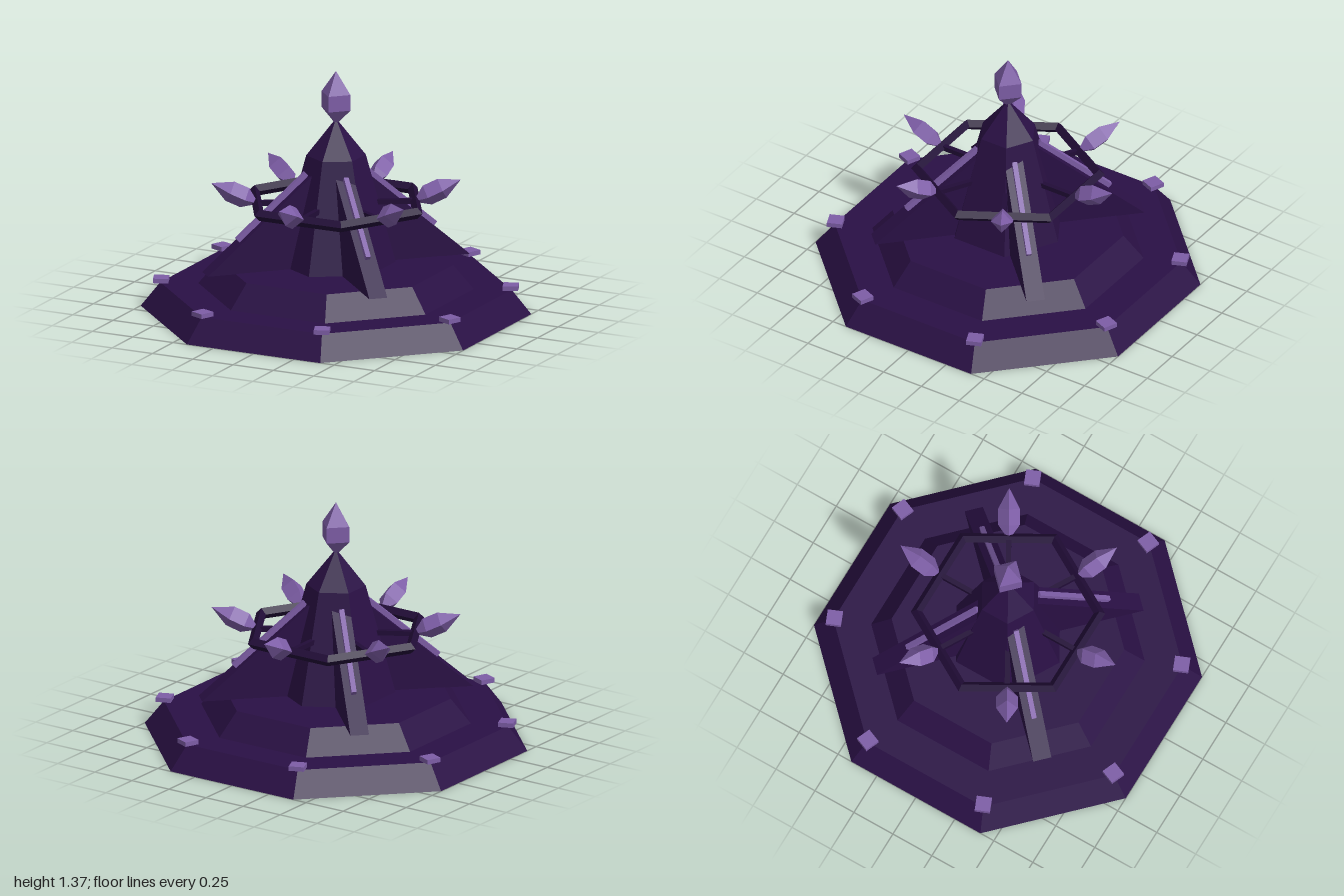
import * as THREE from 'three';

const stone = new THREE.MeshStandardMaterial({ color: 0x2a1045, flatShading: true });
stone.name = 'dark purple stone';
const ringStone = new THREE.MeshStandardMaterial({ color: 0x210c37, flatShading: true });
ringStone.name = 'deep purple stone';
const crystalMat = new THREE.MeshStandardMaterial({ color: 0x7d5da6, flatShading: true });
crystalMat.name = 'lilac crystal';

export function createModel() {
  const model = new THREE.Group();
  model.name = 'crystalMonument';

  const add = (name, geometry, material, parent = model) => {
    const mesh = new THREE.Mesh(geometry, material);
    mesh.name = name;
    parent.add(mesh);
    return mesh;
  };
  // Group whose +z axis points outwards at the given angle
  const spoke = (name, angle) => {
    const g = new THREE.Group();
    g.name = name;
    g.rotation.y = angle;
    model.add(g);
    return g;
  };
  // Tapered prism between two heights
  const prism = (name, rTop, rBottom, y0, y1, sides, turn = 0) => {
    const geo = new THREE.CylinderGeometry(rTop, rBottom, y1 - y0, sides);
    geo.rotateY(turn);
    geo.translate(0, (y0 + y1) / 2, 0);
    return add(name, geo, stone);
  };
  const crystal = (points) =>
    new THREE.LatheGeometry(points.map(([r, y]) => new THREE.Vector2(r, y)), 4);

  // Octagonal tiers, flats facing the axes
  const flat = 1 / Math.cos(Math.PI / 8);
  prism('base', 0.9 * flat, flat, 0, 0.137, 8, Math.PI / 8);
  prism('upperTier', 0.6 * flat, 0.705 * flat, 0.137, 0.272, 8, Math.PI / 8);

  // Hexagonal spire and its cap
  prism('spire', 0.165, 0.33, 0.272, 0.89, 6);
  prism('spireCap', 0.012, 0.165, 0.89, 1.085, 6);

  // Large crystal on the tip
  add('topCrystal', crystal([[0, 1.065], [0.09, 1.155], [0.09, 1.245], [0, 1.372]]), crystalMat);

  // Diagonal buttresses with a glowing strip along the ridge
  const w = 0.104;
  const profile = new THREE.Shape([
    new THREE.Vector2(0.1, 0.27), new THREE.Vector2(0.76, 0.27), new THREE.Vector2(0.15, 0.8),
    new THREE.Vector2(0.1, 0.8),
  ]);
  const finGeo = new THREE.ExtrudeGeometry(profile, { depth: w, bevelEnabled: false });
  finGeo.translate(0, 0, -w / 2);
  finGeo.rotateY(-Math.PI / 2);
  const slope = Math.atan2(0.53, 0.61);
  for (let i = 0; i < 4; i++) {
    const g = spoke('buttress', Math.PI / 4 + i * Math.PI / 2);
    add('buttressFin', finGeo, stone, g);
    const strip = add('buttressStrip', new THREE.BoxGeometry(0.028, 0.04, 0.53), crystalMat, g);
    strip.position.set(0, 0.62, 0.37);
    strip.rotation.x = slope;
  }

  // Hexagonal ring with a diamond section
  const ringGeo = new THREE.TorusGeometry(0.505, 0.032, 4, 6);
  ringGeo.rotateX(Math.PI / 2);
  add('ring', ringGeo, ringStone).position.y = 0.62;

  // Struts and outward leaning crystals at the middle of each ring side
  const smallGeo = crystal([[0, -0.145], [0.06, -0.06], [0.06, 0.03], [0, 0.145]]);
  for (let i = 0; i < 6; i++) {
    const g = spoke('ringSpoke', i * Math.PI / 3);
    add('ringStrut', new THREE.BoxGeometry(0.028, 0.028, 0.25), ringStone, g).position.set(0, 0.62, 0.315);
    const c = add('ringCrystal', smallGeo, crystalMat, g);
    c.position.set(0, 0.677, 0.559);
    c.rotation.x = THREE.MathUtils.degToRad(65);
  }

  // Rune plates at the corners of the base
  for (let i = 0; i < 8; i++) {
    const g = spoke('cornerPlate', Math.PI / 8 + i * Math.PI / 4);
    add('plate', new THREE.BoxGeometry(0.085, 0.026, 0.085), crystalMat, g).position.set(0, 0.155, 0.969);
  }

  return model;
}
